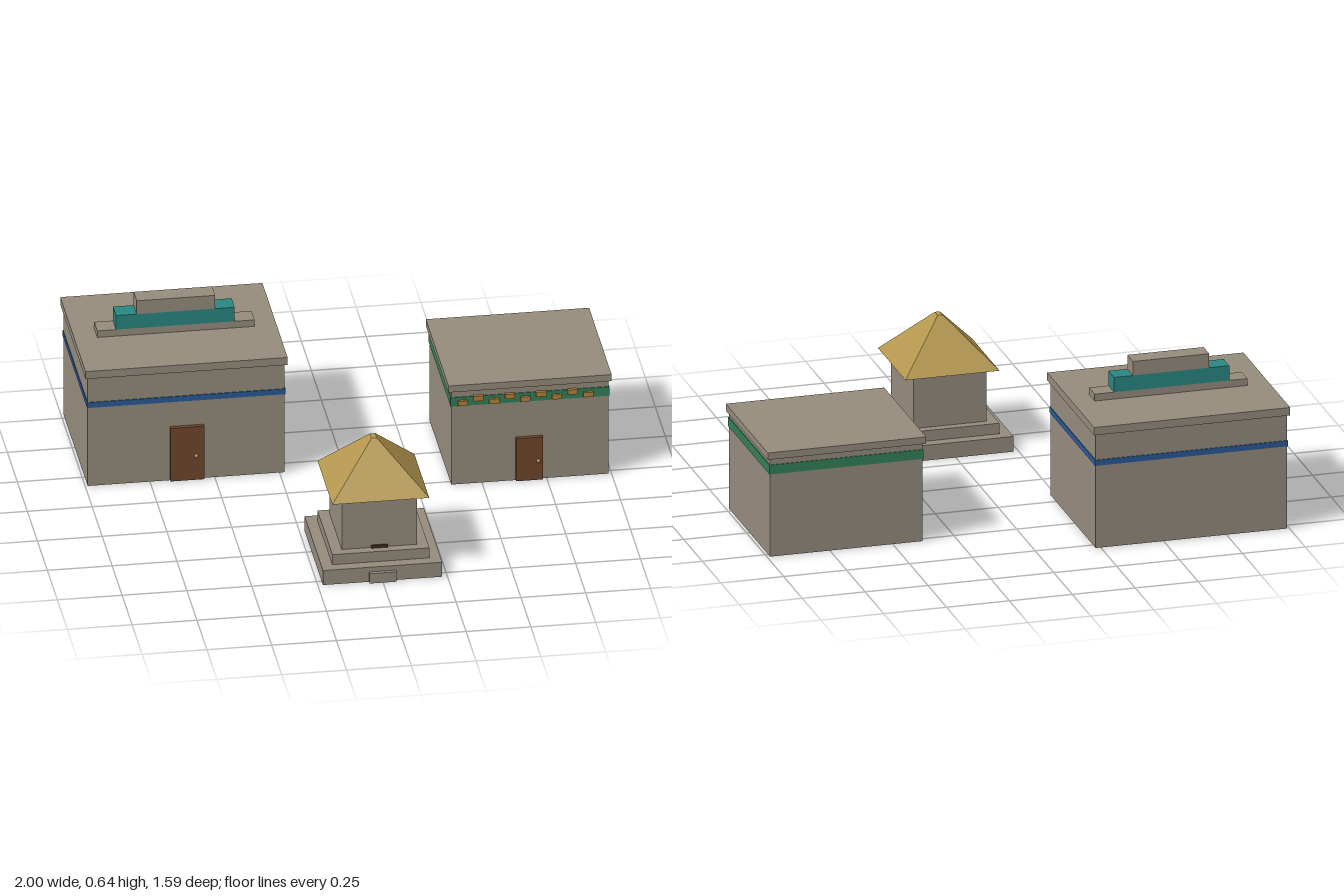
import * as THREE from 'three';

const material = (name, color) => {
  const m = new THREE.MeshStandardMaterial({ color });
  m.name = name;
  return m;
};

export function createModel() {
  const stone = material('stone', 0x958c7d);
  const straw = material('straw', 0xb4974f);
  const wood = material('wood', 0x70462c);
  const teal = material('teal', 0x2a8783);
  const blue = material('blue', 0x2b5a96);
  const green = material('green', 0x33805a);
  const gold = material('gold', 0xb5833c);
  const darkWood = material('dark wood', 0x4a2f20);

  const model = new THREE.Group();
  model.name = 'village';

  const group = (name) => {
    const g = new THREE.Group();
    g.name = name;
    model.add(g);
    return g;
  };

  // Box given by its extents along each axis
  const box = (parent, name, mat, [x0, x1], [y0, y1], [z0, z1]) => {
    const mesh = new THREE.Mesh(new THREE.BoxGeometry(x1 - x0, y1 - y0, z1 - z0), mat);
    mesh.position.set((x0 + x1) / 2, (y0 + y1) / 2, (z0 + z1) / 2);
    mesh.name = name;
    parent.add(mesh);
    return mesh;
  };

  // Door leaf with a small round knob
  const door = (parent, [x0, x1], height, wallZ, knobX, knobY) => {
    box(parent, 'door', wood, [x0, x1], [0.003, height], [wallZ - 0.01, wallZ + 0.014]);
    const knob = new THREE.Mesh(new THREE.SphereGeometry(0.008, 12, 8), gold);
    knob.position.set(knobX, knobY, wallZ + 0.014);
    knob.name = 'doorKnob';
    parent.add(knob);
  };

  // Large house with a stepped roof crest
  const large = group('largeHouse');
  box(large, 'walls', stone, [-0.99, -0.23], [0, 0.463], [-0.785, -0.175]);
  box(large, 'wallBand', blue, [-0.993, -0.227], [0.335, 0.358], [-0.788, -0.172]);
  box(large, 'roofSlab', stone, [-1, -0.22], [0.463, 0.495], [-0.797, -0.166]);
  const crestZ = [-0.518, -0.442];
  box(large, 'crestBase', stone, [-0.912, -0.305], [0.495, 0.523], crestZ);
  box(large, 'crestMiddle', teal, [-0.84, -0.382], [0.523, 0.583], crestZ);
  box(large, 'crestTop', stone, [-0.76, -0.457], [0.583, 0.64], crestZ);
  door(large, [-0.673, -0.543], 0.23, -0.172, -0.573, 0.105);

  // Small house with a studded band
  const small = group('smallHouse');
  box(small, 'walls', stone, [0.382, 0.988], [0, 0.398], [-0.525, 0.025]);
  box(small, 'wallBand', green, [0.379, 0.991], [0.335, 0.373], [-0.528, 0.028]);
  box(small, 'roofSlab', stone, [0.37, 1], [0.398, 0.426], [-0.535, 0.031]);
  for (let i = 0; i < 9; i++) {
    const x = 0.425 + i * 0.0605;
    const y = i % 2 ? 0.366 : 0.35;
    box(small, 'bandStud', gold, [x - 0.019, x + 0.019], [y - 0.01, y + 0.01], [0.02, 0.038]);
  }
  door(small, [0.63, 0.733], 0.185, 0.027, 0.716, 0.084);

  // Shrine on a stepped base
  const shrine = group('shrine');
  box(shrine, 'lowerBase', stone, [-0.23, 0.23], [0, 0.062], [0.322, 0.782]);
  box(shrine, 'upperBase', stone, [-0.187, 0.187], [0.062, 0.105], [0.365, 0.739]);
  box(shrine, 'walls', stone, [-0.145, 0.145], [0.105, 0.318], [0.4, 0.702]);
  box(shrine, 'frontStep', stone, [-0.052, 0.052], [0, 0.042], [0.775, 0.797]);
  box(shrine, 'threshold', darkWood, [-0.032, 0.032], [0.105, 0.116], [0.695, 0.71]);

  // Hipped roof: a box whose top corners are drawn in to a short ridge
  const roof = box(shrine, 'roof', straw, [-0.187, 0.187], [0.318, 0.505], [0.365, 0.737]);
  const corners = roof.geometry.attributes.position;
  for (let i = 0; i < corners.count; i++) {
    if (corners.getY(i) > 0) {
      corners.setX(i, Math.sign(corners.getX(i)) * 0.01);
      corners.setZ(i, Math.sign(corners.getZ(i)) * 0.02);
    }
  }
  roof.geometry.computeVertexNormals();

  return model;
}
